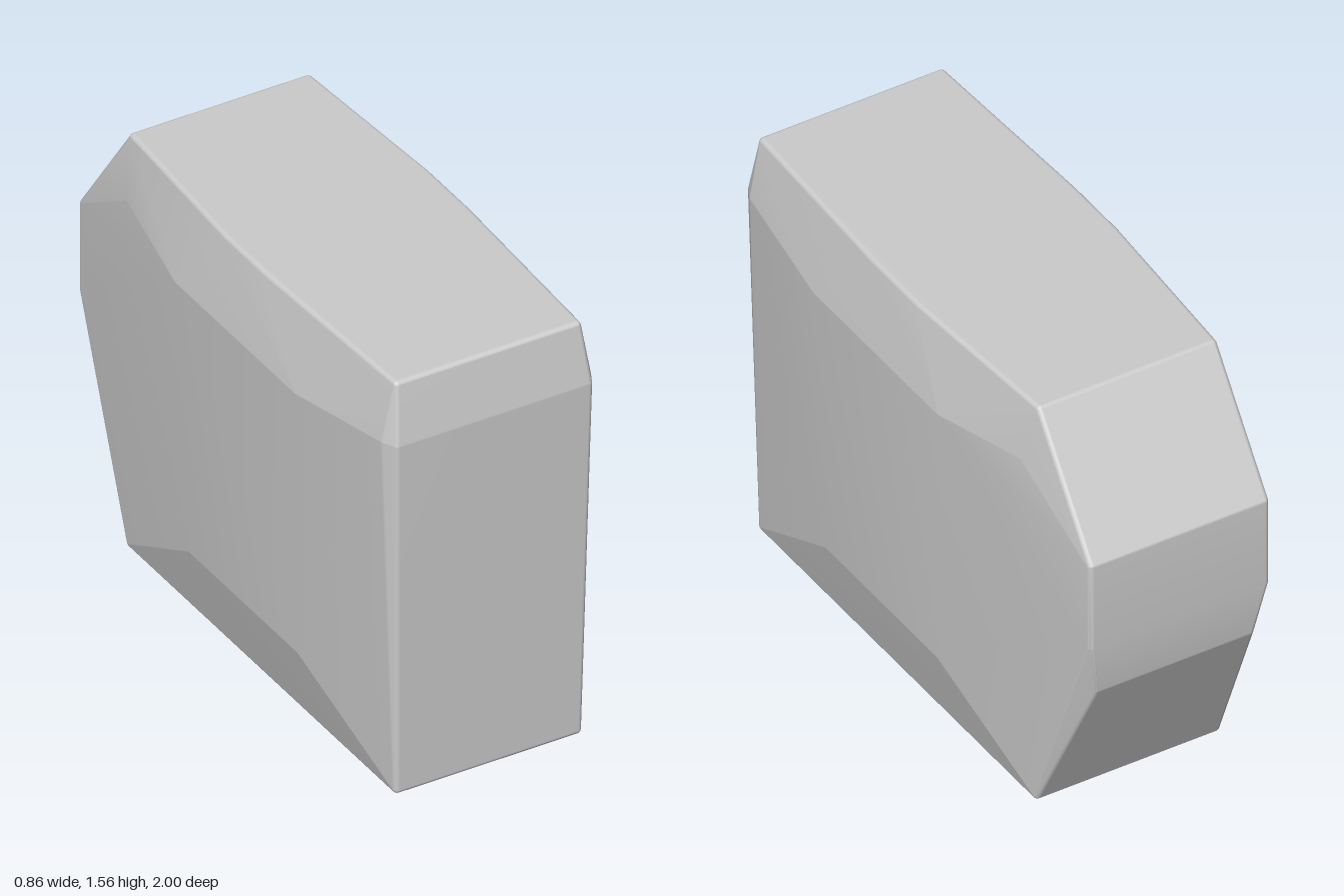
import * as THREE from 'three';
import { ConvexGeometry } from 'three/addons/geometries/ConvexGeometry.js';
import { mergeVertices } from 'three/addons/utils/BufferGeometryUtils.js';

const BEVEL = 0.018;
const HEIGHT = 1.56;

// Corners of the left half: half width, height, depth
const corners = [
  // base
  [0.345, 0, 0.965], [0.345, 0, -0.695],
  // lower side panel
  [0.405, 0.28, 0.48], [0.405, 0.28, -0.22],
  // upper side panel
  [0.43, 1.28, 0.51], [0.43, 1.28, -0.26],
  // front shoulder
  [0.365, 1.34, 1], [0.385, 1.34, 0.96],
  // top rim, bowed outwards in the middle
  [0.345, HEIGHT, 0.965], [0.375, HEIGHT, 0.24], [0.375, HEIGHT, -0.05], [0.335, HEIGHT, -0.695],
  // rear shoulder
  [0.37, 1.34, -0.66],
  // back, rounding under towards the base
  [0.335, 1.12, -1], [0.335, 0.8, -1], [0.3, 0.6, -0.97],
];

// Convex hull of small spheres set in each corner gives softly bevelled edges
function bevelledHull(points, radius) {
  const ball = mergeVertices(new THREE.IcosahedronGeometry(radius, 3).deleteAttribute('uv').deleteAttribute('normal'));
  const offsets = ball.getAttribute('position');
  const cloud = [];
  for (const [x, y, z] of points) {
    const cy = THREE.MathUtils.clamp(y, radius, HEIGHT - radius);
    const cz = z - Math.sign(z) * radius;
    for (const side of [1, -1]) {
      const centre = new THREE.Vector3(side * (x - radius), cy, cz);
      for (let i = 0; i < offsets.count; i++) {
        cloud.push(new THREE.Vector3().fromBufferAttribute(offsets, i).add(centre));
      }
    }
  }
  const hull = new ConvexGeometry(cloud);
  hull.deleteAttribute('normal');
  // Area-weighted normals keep the large faces flat and the bevels smooth
  const geometry = mergeVertices(hull, 1e-5);
  geometry.computeVertexNormals();
  return geometry;
}

export function createModel() {
  const group = new THREE.Group();
  group.name = 'facetedBlock';
  const body = new THREE.Mesh(
    bevelledHull(corners, BEVEL),
    new THREE.MeshStandardMaterial({ color: 0xcccccc })
  );
  body.name = 'body';
  group.add(body);
  return group;
}
